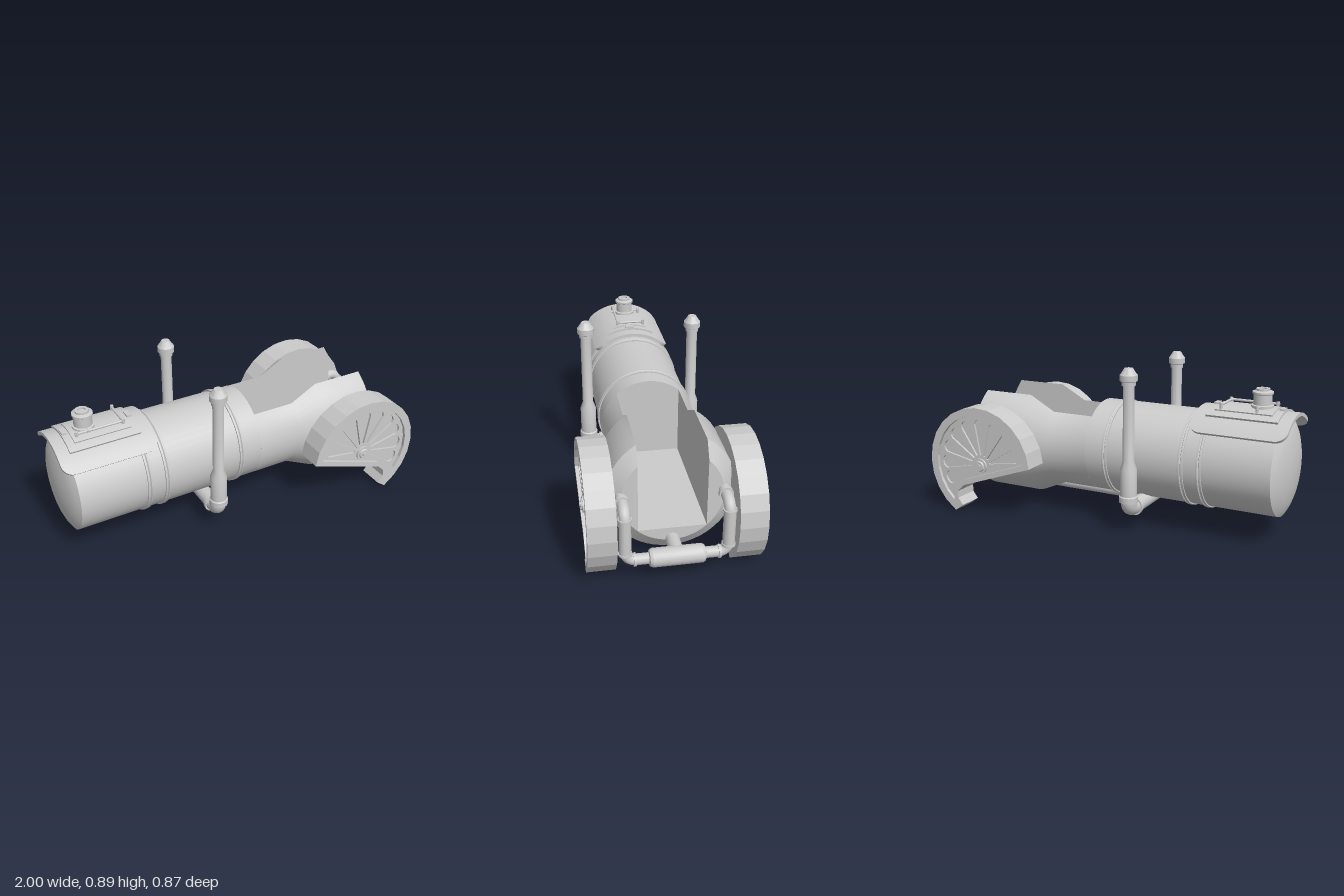
import * as THREE from 'three';
import { toCreasedNormals } from 'three/addons/utils/BufferGeometryUtils.js';

const V = (x, y, z) => new THREE.Vector3(x, y, z);
const CY = 0.41; // height of the boiler axis
const mat = new THREE.MeshStandardMaterial({ color: 0xcccccc, side: THREE.DoubleSide });

function add(parent, name, geo, x = 0, y = 0, z = 0) {
  const m = new THREE.Mesh(geo, mat);
  m.name = name;
  m.position.set(x, y, z);
  parent.add(m);
  return m;
}

// turned part around y, from [radius, height] pairs
function turned(profile, sides = 24) {
  const pts = profile.map(([r, h]) => new THREE.Vector2(r, h));
  return toCreasedNormals(new THREE.LatheGeometry(pts, sides), 0.5);
}
const turnedX = (profile, sides = 48) => turned(profile, sides).rotateZ(-Math.PI / 2);
const turnedZ = (profile, sides = 24) => turned(profile, sides).rotateX(Math.PI / 2);

// pipe along a polyline with rounded bends
function pipe(pts, r, bend = 0.06) {
  const path = new THREE.CurvePath();
  let from = pts[0];
  for (let i = 1; i < pts.length - 1; i++) {
    const c = pts[i];
    const a = c.clone().add(pts[i - 1].clone().sub(c).setLength(bend));
    const b = c.clone().add(pts[i + 1].clone().sub(c).setLength(bend));
    path.add(new THREE.LineCurve3(from, a));
    path.add(new THREE.QuadraticBezierCurve3(a, c, b));
    from = b;
  }
  path.add(new THREE.LineCurve3(from, pts[pts.length - 1]));
  return new THREE.TubeGeometry(path, pts.length > 2 ? 60 : 2, r, 16);
}

// skin closed sections of [z, y] points placed along x, with flat ends
function loft(sections) {
  const n = sections[0].pts.length, pos = [], idx = [];
  for (const s of sections) for (const [z, y] of s.pts) pos.push(s.x, y, z);
  for (let i = 0; i < sections.length - 1; i++) {
    for (let k = 0; k < n; k++) {
      const a = i * n + k, b = i * n + (k + 1) % n;
      idx.push(a, b, a + n, b, b + n, a + n);
    }
  }
  const last = (sections.length - 1) * n;
  for (const [s, off] of [[sections[0], 0], [sections[sections.length - 1], last]]) {
    const flat = s.pts.map(([z, y]) => new THREE.Vector2(z, y));
    for (const [a, b, c] of THREE.ShapeUtils.triangulateShape(flat, [])) {
      if (off) idx.push(a + off, b + off, c + off);
      else idx.push(a, c, b);
    }
  }
  const g = new THREE.BufferGeometry();
  g.setAttribute('position', new THREE.Float32BufferAttribute(pos, 3));
  g.setIndex(idx);
  g.computeVertexNormals();
  return toCreasedNormals(g, 0.5);
}

// curved plate lying on the boiler, with optional rounded corners
function plate(x0, x1, half, r0, r1, corner = 0) {
  const ends = [];
  const steps = corner ? 6 : 0;
  for (let i = 0; i <= steps; i++) {
    const t = steps ? (i / steps) * Math.PI / 2 : 0;
    ends.push([corner * (1 - Math.cos(t)), corner ? half - (corner / r1) * (1 - Math.sin(t)) : half]);
  }
  const arc = (h) => {
    const pts = [];
    for (let k = 0; k <= 20; k++) {
      const a = -h + (2 * h * k) / 20;
      pts.push([r1 * Math.sin(a), CY + r1 * Math.cos(a)]);
    }
    for (let k = 20; k >= 0; k--) {
      const a = -h + (2 * h * k) / 20;
      pts.push([r0 * Math.sin(a), CY + r0 * Math.cos(a)]);
    }
    return pts;
  };
  return loft([
    ...ends.map(([d, h]) => ({ x: x0 + d, pts: arc(h) })),
    ...ends.reverse().map(([d, h]) => ({ x: x1 - d, pts: arc(h) })),
  ]);
}

// round section with a square channel cut from the top
function channelSection(x, R) {
  const w = 0.17, a0 = Math.asin(w / R), pts = [];
  for (let k = 0; k <= 40; k++) {
    const a = a0 + ((2 * Math.PI - 2 * a0) * k) / 40;
    pts.push([R * Math.sin(a), CY + R * Math.cos(a)]);
  }
  pts.push([-w, 0.23], [w, 0.23]);
  return { x, pts };
}

const CX = 0.665, WY = 0.305; // wheel centre
function guardOutline(r, a0, a1, tail) {
  const pts = [];
  for (let i = 0; i <= 16; i++) {
    const a = THREE.MathUtils.degToRad(a0 + ((a1 - a0) * i) / 16);
    pts.push(new THREE.Vector2(CX + r * Math.cos(a), WY + r * Math.sin(a)));
  }
  for (const [x, y] of tail) pts.push(new THREE.Vector2(x, y));
  return pts;
}
const slab = (shape, depth) => new THREE.ExtrudeGeometry(shape, { depth, bevelEnabled: false, curveSegments: 6 });

function wheelGuard() {
  const g = new THREE.Group();
  const outer = guardOutline(0.332, 175, -58, [[0.79, 0.06], [0.82, 0.1], [0.82, 0.14], [0.78, 0.18]]);
  const inner = guardOutline(0.288, 171, -50, [[0.835, 0.14], [0.775, 0.212]]);
  add(g, 'guardBody', slab(new THREE.Shape(outer), 0.11), 0, 0, 0.29);
  const rim = new THREE.Shape(outer);
  rim.holes.push(new THREE.Path(inner));
  add(g, 'guardRim', slab(rim, 0.03), 0, 0, 0.4);
  // spoked panel: petal-shaped openings around the hub
  const panel = new THREE.Shape(inner);
  for (let i = 0; i < 9; i++) {
    const a = THREE.MathUtils.degToRad(160 - 23 * i);
    const at = (r, s) => [CX + r * Math.cos(a) - s * Math.sin(a), WY + r * Math.sin(a) + s * Math.cos(a)];
    const p = new THREE.Path();
    p.moveTo(...at(0.06, -0.004));
    p.lineTo(...at(0.235, -0.038));
    p.bezierCurveTo(...at(0.275, -0.035), ...at(0.275, 0.035), ...at(0.235, 0.038));
    p.lineTo(...at(0.06, 0.004));
    p.closePath();
    panel.holes.push(p);
  }
  add(g, 'spokedPanel', slab(panel, 0.012), 0, 0, 0.4);
  add(g, 'hub', turnedZ([[0.042, 0], [0.042, 0.022], [0.03, 0.022], [0.026, 0.03], [0.012, 0.03], [0.012, 0.036], [0, 0.036]]), CX, WY, 0.4);
  return g;
}

export function createModel() {
  const model = new THREE.Group();

  // boiler barrel with a domed end, and the open channelled half
  add(model, 'boiler', turnedX([[0, -1], [0.1, -0.993], [0.18, -0.978], [0.225, -0.962], [0.255, -0.945], [0.255, 0.09], [0, 0.09]]), 0, CY, 0);
  add(model, 'openBody', loft([[0.09, 0.255], [0.33, 0.255], [0.48, 0.32], [0.775, 0.32], [0.825, 0.25]].map(([x, r]) => channelSection(x, r))));
  for (const x of [-0.57, -0.47, -0.03]) {
    add(model, 'boilerBand', turnedX([[0.25, -0.014], [0.262, -0.014], [0.264, -0.004], [0.258, 0], [0.264, 0.004], [0.262, 0.014], [0.25, 0.014]]), x, CY, 0);
  }

  // saddle plate, hatch and filler
  add(model, 'saddlePlate', plate(-1, -0.49, 0.86, 0.27, 0.288, 0.06));
  add(model, 'hatchFrame', plate(-0.935, -0.555, 0.486, 0.28, 0.299));
  add(model, 'hatchPanel', plate(-0.895, -0.59, 0.335, 0.28, 0.306));
  add(model, 'filler', turned([[0.058, 0.7], [0.058, 0.725], [0.048, 0.728], [0.048, 0.78], [0.054, 0.784], [0.054, 0.794], [0.036, 0.8], [0.036, 0.81], [0.02, 0.81], [0.02, 0.802], [0, 0.802]]), -0.81, 0, 0);
  add(model, 'handRail', pipe([V(-0.88, 0.722, 0.065), V(-0.62, 0.722, 0.065), V(-0.62, 0.722, -0.085)], 0.007, 0.02));
  add(model, 'latchRod', pipe([V(-0.81, 0.722, -0.085), V(-0.81, 0.722, 0.08)], 0.006));
  for (const [x, z] of [[-0.87, 0.065], [-0.62, 0.065], [-0.62, -0.085], [-0.81, -0.085]]) {
    add(model, 'railPost', new THREE.CylinderGeometry(0.009, 0.009, 0.05, 10), x, 0.708, z);
  }
  for (const x of [-0.92, -0.57]) add(model, 'hatchHinge', new THREE.BoxGeometry(0.025, 0.025, 0.05), x, 0.705, 0);

  // parts repeated on both sides
  for (const s of [1, -1]) {
    const side = s > 0 ? 'left' : 'right';
    const guard = wheelGuard();
    guard.name = side + 'WheelGuard';
    guard.scale.z = s;
    model.add(guard);

    const stack = new THREE.Group();
    stack.name = side + 'Stack';
    model.add(stack);
    add(stack, 'stackPipe', turned([[0.042, 0.2], [0.05, 0.2], [0.05, 0.23], [0.044, 0.235], [0.044, 0.38], [0.03, 0.42], [0.03, 0.82], [0.036, 0.82], [0.036, 0.84], [0.046, 0.845], [0.046, 0.875], [0.038, 0.885], [0.022, 0.91], [0, 0.91]]), -0.2, 0, 0.3 * s);
    add(stack, 'stackElbow', pipe([V(-0.2, 0.22, 0.3 * s), V(-0.2, 0.155, 0.3 * s), V(-0.2, 0.155, 0)], 0.042));
    add(stack, 'elbowFlange', turnedZ([[0.04, -0.009], [0.05, -0.009], [0.05, 0.009], [0.04, 0.009]]), -0.2, 0.155, 0.23 * s);

    const rear = new THREE.Group();
    rear.name = side + 'RearPipe';
    model.add(rear);
    const z = 0.25 * s;
    add(rear, 'bentPipe', pipe([V(0.76, 0.425, z), V(0.945, 0.425, z), V(0.945, 0.155, z), V(0.945, 0.155, 0)], 0.028));
    add(rear, 'pipeSleeve', turned([[0.028, 0.19], [0.034, 0.19], [0.034, 0.2], [0.03, 0.2], [0.03, 0.385], [0.034, 0.385], [0.034, 0.395], [0.028, 0.395]]), 0.945, 0, z);
    add(rear, 'pipeCollar', turnedZ([[0.027, -0.006], [0.034, -0.006], [0.034, 0.006], [0.027, 0.006]]), 0.945, 0.155, 0.205 * s);
    add(rear, 'inletCollar', turnedX([[0.027, -0.01], [0.036, -0.01], [0.036, 0.01], [0.027, 0.01]], 24), 0.86, 0.425, z);
  }

  // rear tank and its feed, and the pipe under the boiler
  add(model, 'rearTank', turnedZ([[0.026, -0.138], [0.04, -0.134], [0.047, -0.12], [0.047, 0.12], [0.04, 0.134], [0.026, 0.138]]), 0.945, 0.155, 0);
  add(model, 'tankFeed', pipe([V(0.76, 0.165, 0), V(0.93, 0.165, 0)], 0.035));
  add(model, 'underPipe', pipe([V(-0.2, 0.145, 0), V(0.48, 0.145, 0)], 0.033));
  add(model, 'underPipeCollar', turnedX([[0.03, -0.02], [0.042, -0.02], [0.042, 0.02], [0.03, 0.02]], 24), -0.05, 0.145, 0);
  return model;
}
